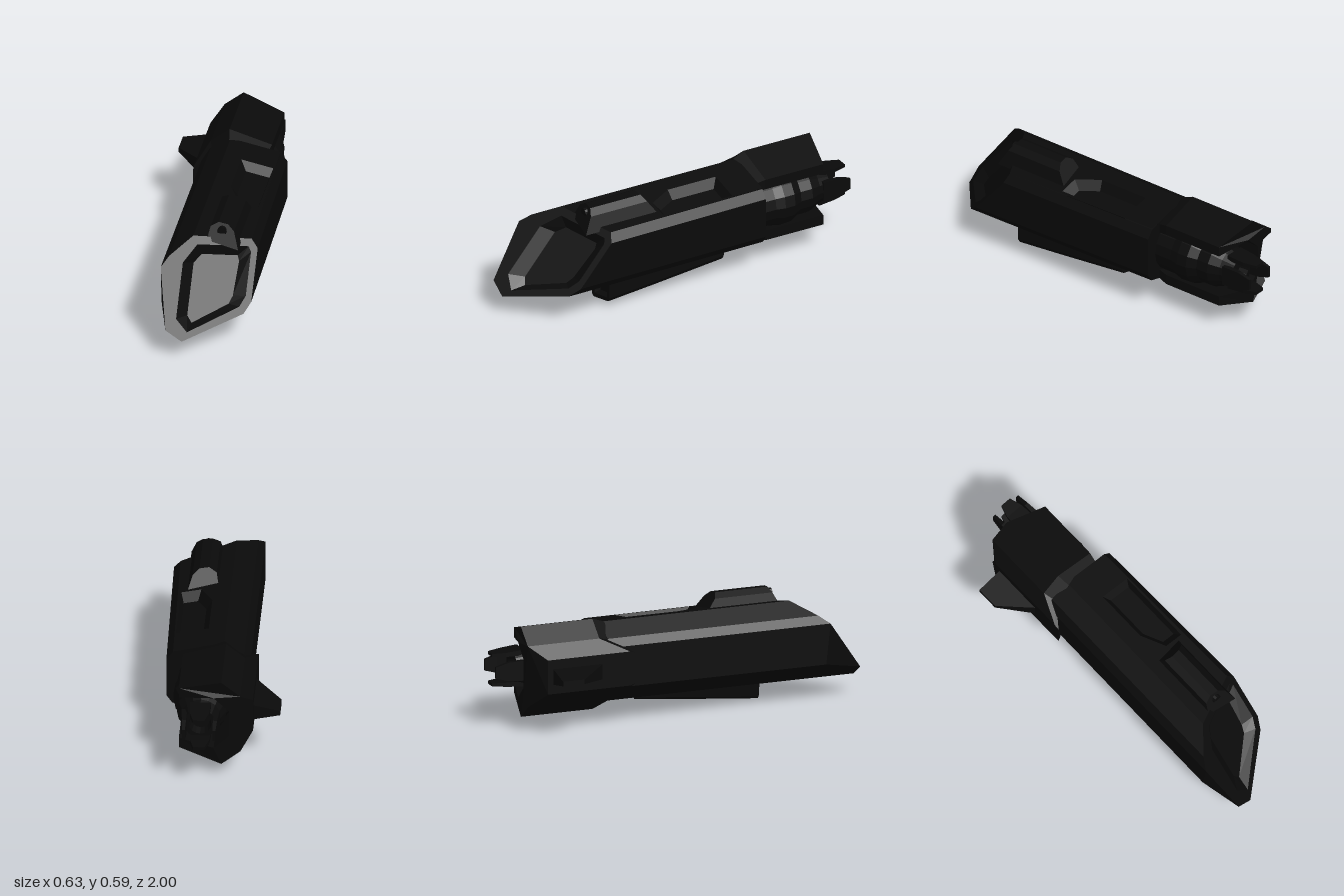
import * as THREE from 'three';
import { mergeGeometries } from 'three/addons/utils/BufferGeometryUtils.js';

const material = new THREE.MeshStandardMaterial({ color: 0x0a0a0a, flatShading: true, side: THREE.DoubleSide });

function add(parent, name, geometry) {
  const mesh = new THREE.Mesh(geometry, material);
  mesh.name = name;
  parent.add(mesh);
  return mesh;
}

function fromTriangles(points) {
  const g = new THREE.BufferGeometry().setFromPoints(points);
  g.computeVertexNormals();
  return g;
}

// Joins rings (counter-clockwise seen from +z, front to back); skip leaves one side open
function loft(rings, { front = true, back = true, skip = -1 } = {}) {
  const tris = [];
  const n = rings[0].length;
  for (let r = 0; r + 1 < rings.length; r++) {
    for (let i = 0; i < n; i++) {
      if (i === skip) continue;
      const j = (i + 1) % n;
      const [a, b, c, d] = [rings[r][i], rings[r][j], rings[r + 1][j], rings[r + 1][i]];
      tris.push(a, d, c, a, c, b);
    }
  }
  const last = rings[rings.length - 1];
  for (let i = 1; i + 1 < n; i++) {
    if (front) tris.push(rings[0][0], rings[0][i], rings[0][i + 1]);
    if (back) tris.push(last[0], last[i + 1], last[i]);
  }
  return fromTriangles(tris);
}

const ring = (section, zOf, move = (x, y) => [x, y]) =>
  section.map(([x, y]) => new THREE.Vector3(...move(x, y), zOf(x, y)));
const shapeOf = (pts) => new THREE.Shape(pts.map(([x, y]) => new THREE.Vector2(x, y)));

// Flat panel with a sunken, sloping-walled recess; map(u, v, depth) places it in space
function recessPanel(outer, hole, floor, depth, map) {
  const flat = (shape, d) => {
    const g = new THREE.ShapeGeometry(shape).toNonIndexed();
    const p = g.attributes.position;
    for (let i = 0; i < p.count; i++) p.setXYZ(i, ...map(p.getX(i), p.getY(i), d).toArray());
    g.deleteAttribute('uv');
    g.computeVertexNormals();
    return g;
  };
  const rim = shapeOf(outer);
  rim.holes.push(shapeOf(hole));
  const loop = (pts, d) => pts.map(([u, v]) => map(u, v, d)).reverse();
  const walls = loft([loop(hole, 0), loop(floor, depth)], { front: false, back: false });
  return mergeGeometries([flat(rim, 0), flat(shapeOf(floor), depth), walls]);
}

export function createModel() {
  const ship = new THREE.Group();
  ship.name = 'spaceship';

  // Hull: faceted section, cut by a slanted plane at the nose
  const section = [[0, 0.1], [0.285, 0.167], [0.315, 0.21], [0.315, 0.43], [0.28, 0.475],
    [-0.005, 0.535], [-0.11, 0.47], [-0.145, 0.43], [-0.145, 0.21], [-0.085, 0.16]];
  const nosePlane = (x, y) => 1 - 0.63 * x - 0.84 * (y - 0.1);
  const noseRing = ring(section, nosePlane);
  noseRing[8].z = 0.79;
  const tailRing = ring(section, () => -0.42, (x, y) => [x > 0.2 ? x - 0.02 : x, y]);
  add(ship, 'hull', loft([noseRing, tailRing], { front: false, skip: 4 }));
  add(ship, 'noseCheek', fromTriangles([noseRing[7], noseRing[8], noseRing[9]]));

  // Nose frame with sunken window
  add(ship, 'noseWindow', recessPanel(
    section.filter((_, i) => i !== 8),
    [[-0.04, 0.43], [-0.04, 0.2], [0.02, 0.135], [0.26, 0.2], [0.285, 0.24], [0.285, 0.42], [0.27, 0.445], [0.02, 0.495]],
    [[0.005, 0.4], [0.005, 0.185], [0.03, 0.15], [0.2, 0.2], [0.215, 0.23], [0.225, 0.37], [0.215, 0.395], [0.04, 0.43]],
    0.06, (x, y, d) => new THREE.Vector3(x, y, nosePlane(x, y) - d)));

  // Upper deck with its sunken bay (v runs towards the tail)
  add(ship, 'upperDeck', recessPanel(
    [[-0.005, 0.42], [-0.005, -0.638], [0.28, -0.51], [0.26, 0.42]],
    [[0.085, 0.24], [0.085, -0.05], [0.15, -0.18], [0.255, -0.18], [0.255, 0.24]],
    [[0.115, 0.21], [0.115, -0.04], [0.165, -0.14], [0.24, -0.14], [0.24, 0.21]],
    0.045, (x, v, d) => new THREE.Vector3(x, 0.535 - 0.2105 * (x + 0.005) - d, -v)));

  // Turret housing on the deck, with a round port
  const turret = [[0.06, 0.5], [0.23, 0.465], [0.2, 0.55], [0.165, 0.58], [0.115, 0.587], [0.075, 0.565]];
  add(ship, 'turretHousing', loft([
    ring(turret, (x, y) => 0.615 - (y - 0.49) * 0.55),
    ring(turret, (x, y) => 0.2 + (y - 0.49) * 0.7)]));
  const port = add(ship, 'turretPort', new THREE.CylinderGeometry(0.025, 0.025, 0.1, 12).rotateX(Math.PI / 2));
  port.position.set(0.137, 0.547, 0.54);

  // Belly pod, shallower towards the tail, with an intake
  const pod = [[0.07, 0], [0.22, 0.037], [0.235, 0.06], [0.235, 0.18], [0.035, 0.15], [0.055, 0.013]];
  add(ship, 'bellyPod', loft([
    ring(pod, () => 0.49),
    ring(pod, () => 0.22, (x, y) => [x, y + 0.026]),
    ring(pod, (x, y) => (y > 0.1 ? -0.22 : -0.2), (x, y) => [x, Math.max(y + 0.07, 0.07)])], { front: false }));
  add(ship, 'podIntake', recessPanel(pod,
    [[0.08, 0.025], [0.21, 0.055], [0.21, 0.14], [0.075, 0.11]],
    [[0.09, 0.04], [0.2, 0.065], [0.2, 0.13], [0.085, 0.1]],
    0.03, (x, y, d) => new THREE.Vector3(x, y, 0.49 - d)));

  // C-shaped armour collar round the engine
  const collar = new THREE.ExtrudeGeometry(shapeOf([
    [0.205, 0.49], [-0.02, 0.56], [-0.12, 0.48], [-0.18, 0.41], [-0.18, 0.225], [-0.12, 0.15], [-0.02, 0.07], [0.205, 0.135],
    [0.205, 0.19], [0.02, 0.165], [-0.06, 0.24], [-0.06, 0.39], [0.02, 0.465], [0.205, 0.435]]),
  { depth: 2, steps: 2, bevelEnabled: false });
  const p = collar.attributes.position;
  for (let i = 0; i < p.count; i++) {
    const x = p.getX(i), y = p.getY(i), step = Math.round(p.getZ(i));
    const side = x < -0.15;
    const z = [side ? -0.78 : x > 0.1 ? -0.82 : -0.87, side ? -0.32 : -0.47, side ? -0.29 : -0.4][step];
    const k = step === 2 ? 0.9 : 1;
    p.setXYZ(i, side ? x : 0.09 + (x - 0.09) * k, 0.315 + (y - 0.315) * k, z);
  }
  collar.computeVertexNormals();
  add(ship, 'engineCollar', collar);

  // Side fin: thick swept root to thin tip
  const finRing = (x, low, high, zFront) => [[low, -0.75], [low, zFront], [high, zFront], [high, -0.75]]
    .map(([y, z]) => new THREE.Vector3(x, y, z));
  add(ship, 'sideFin', loft([finRing(-0.14, 0.267, 0.368, -0.43), finRing(-0.32, 0.305, 0.33, -0.63)]));

  // Engine body and nozzle
  const engine = new THREE.Group();
  engine.name = 'engine';
  engine.position.set(0.09, 0.315, 0);
  ship.add(engine);
  const profile = [[0, 0.4], [0.145, 0.4], [0.145, 0.52], [0.158, 0.57], [0.155, 0.63], [0.13, 0.68], [0.13, 0.75],
    [0.105, 0.81], [0.085, 0.88], [0.06, 0.88], [0.05, 0.83], [0, 0.83]];
  add(engine, 'engineBody', new THREE.LatheGeometry(
    profile.map(([r, y]) => new THREE.Vector2(r, y)), 16).rotateX(-Math.PI / 2));

  // Four tapering nozzle petals
  const petalRing = (w, r, t, z) => [[-w, r - t], [w, r - t], [w, r], [-w, r]]
    .map(([x, y]) => new THREE.Vector3(x, y, z));
  for (let i = 0; i < 4; i++) {
    const petal = add(engine, 'nozzlePetal', loft([
      petalRing(0.055, 0.1, 0.03, -0.83), petalRing(0.05, 0.092, 0.022, -0.93), petalRing(0.03, 0.088, 0.016, -1)]));
    petal.rotation.z = i * Math.PI / 2;
  }
  return ship;
}
